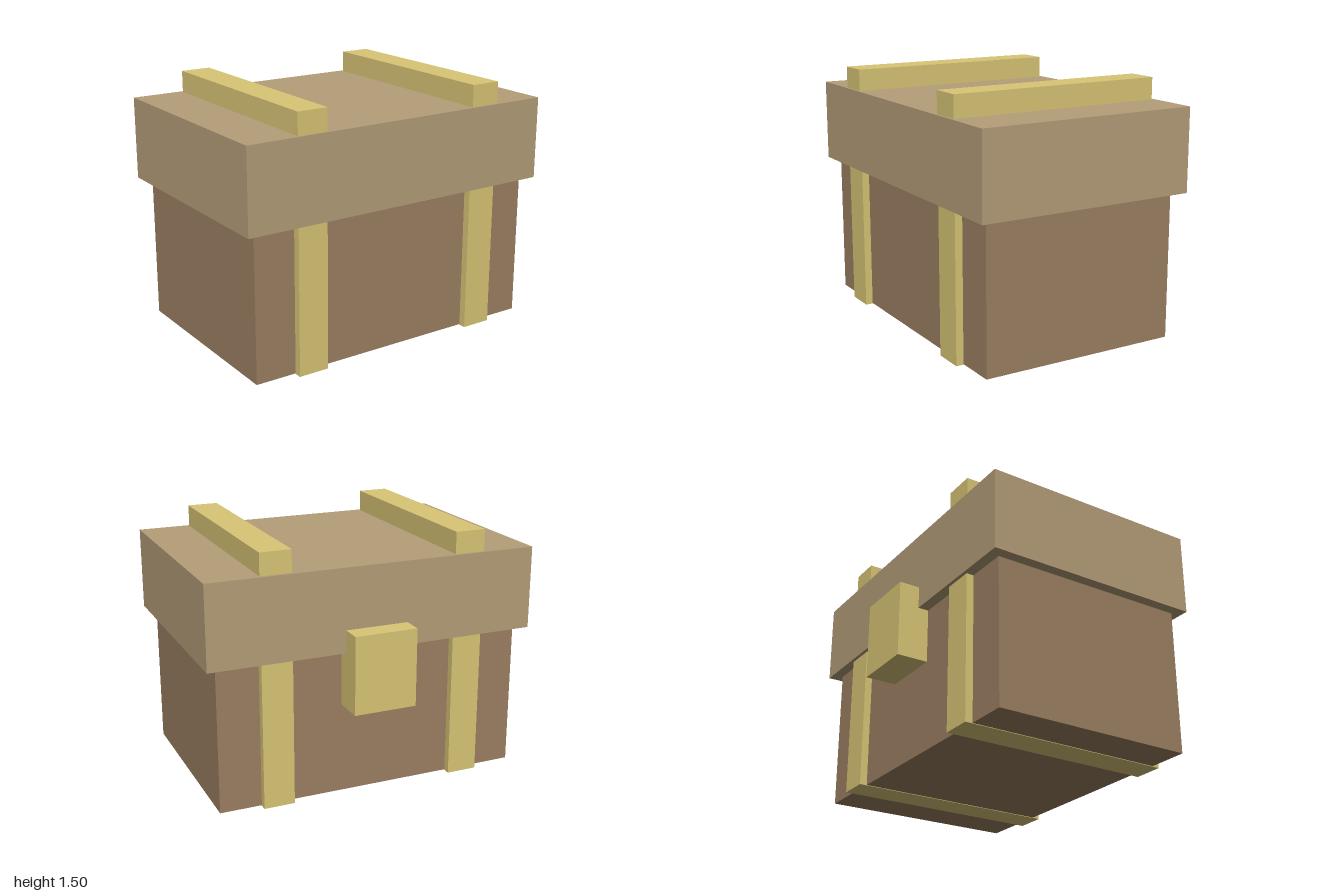
import * as THREE from 'three';

const paint = (color) => new THREE.MeshStandardMaterial({ color });

// Box given by its lower and upper limits on each axis
function block(name, material, [x0, x1], [y0, y1], [z0, z1]) {
  const mesh = new THREE.Mesh(new THREE.BoxGeometry(x1 - x0, y1 - y0, z1 - z0), material);
  mesh.position.set((x0 + x1) / 2, (y0 + y1) / 2, (z0 + z1) / 2);
  mesh.name = name;
  return mesh;
}

export function createModel() {
  const chest = new THREE.Group();
  chest.name = 'chest';

  const bodyWood = paint(0x9c8062);
  const lidWood = paint(0xb59e79);
  const brass = paint(0xd9c676);

  // Lower box and the wider lid over it
  chest.add(block('body', bodyWood, [-0.935, 0.935], [0.013, 0.9], [-0.545, 0.67]));
  chest.add(block('lid', lidWood, [-1, 1], [0.885, 1.38], [-0.61, 0.73]));

  // Two straps running right around the chest, proud of body and lid top
  for (const [name, side] of [['leftStrap', 1], ['rightStrap', -1]]) {
    const strap = block(name, brass, [-0.0925, 0.0925], [0.01, 1.51], [-0.59, 0.715]);
    strap.position.x = side * 0.593;
    chest.add(strap);
  }

  // Latch block bridging the lid seam on the back
  chest.add(block('latch', brass, [-0.19, 0.19], [0.555, 1.02], [-0.735, -0.54]));

  return chest;
}
